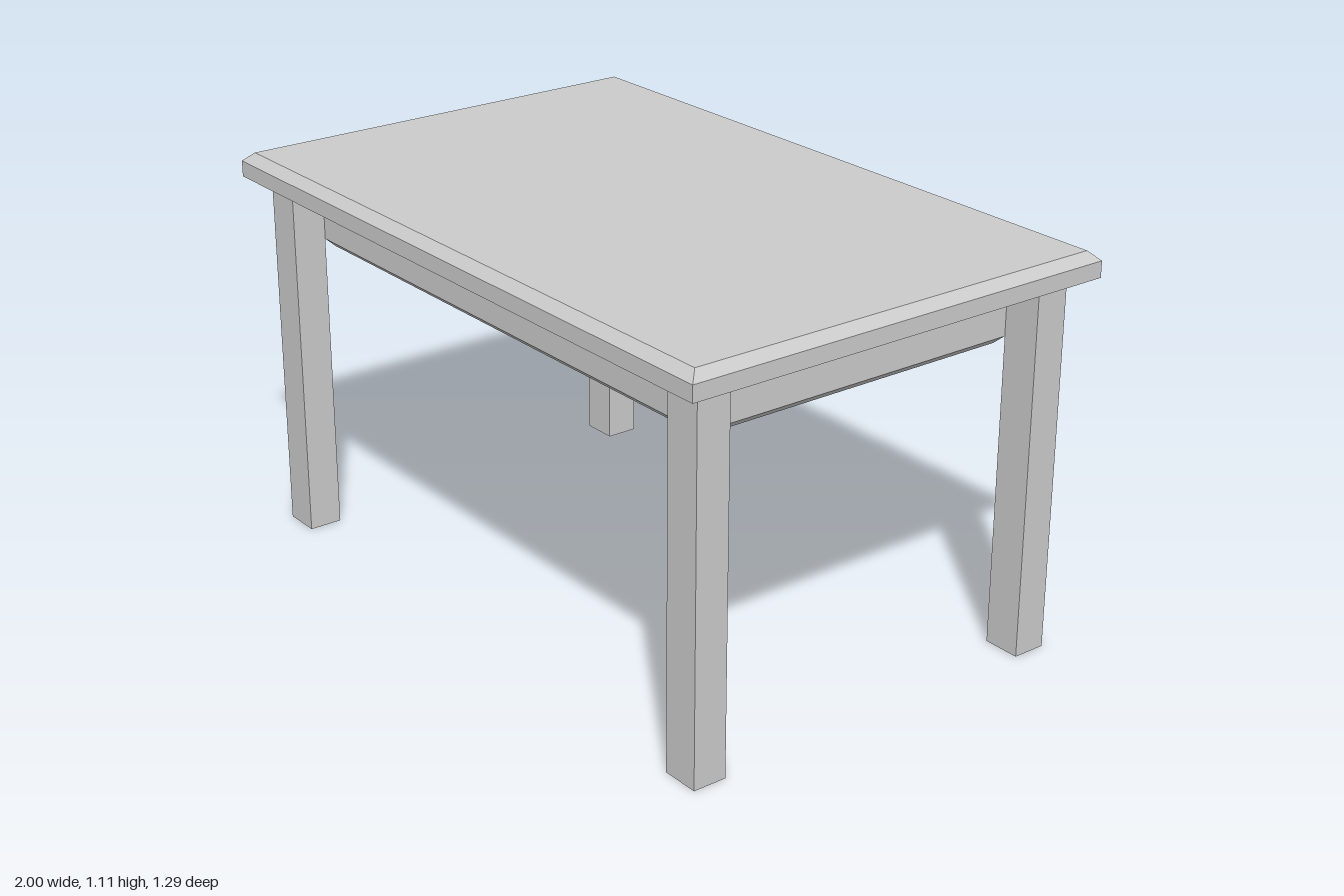
import * as THREE from 'three';

const material = new THREE.MeshStandardMaterial({ color: 0xcccccc, flatShading: true });

// Rectangle at height y; a flare pushes its four sides out and leaves the corners clipped.
function ring(hx, hz, y, flare = 0) {
  return [[1, 1], [1, -1], [-1, -1], [-1, 1]].flatMap(([sx, sz]) => {
    const endOfZSide = new THREE.Vector3(sx * hx, y, sz * (hz + flare));
    const endOfXSide = new THREE.Vector3(sx * (hx + flare), y, sz * hz);
    return sx === sz ? [endOfZSide, endOfXSide] : [endOfXSide, endOfZSide];
  });
}

// Skins the rings in order, closing the first one and, if asked, the last one.
function loft(name, rings, closeEnd) {
  const points = [];
  const triangle = (a, b, c) => {
    if (new THREE.Triangle(a, b, c).getArea() > 1e-9) points.push(a, b, c);
  };
  for (let r = 0; r < rings.length - 1; r++) {
    const low = rings[r], high = rings[r + 1];
    low.forEach((p, i) => {
      const j = (i + 1) % low.length;
      triangle(p, low[j], high[j]);
      triangle(p, high[j], high[i]);
    });
  }
  const first = rings[0], last = rings[rings.length - 1];
  for (let i = 1; i < first.length - 1; i++) {
    triangle(first[0], first[i + 1], first[i]);
    if (closeEnd) triangle(last[0], last[i], last[i + 1]);
  }
  const geometry = new THREE.BufferGeometry().setFromPoints(points);
  geometry.computeVertexNormals();
  const mesh = new THREE.Mesh(geometry, material);
  mesh.name = name;
  return mesh;
}

export function createModel() {
  const table = new THREE.Group();
  table.name = 'table';

  // Top and hollow apron in one skin, from the recess ceiling round to the upper face
  table.add(loft('tableTopAndApron', [
    ring(0.745, 0.4, 1.06),
    ring(0.745, 0.4, 0.87),
    ring(0.765, 0.42, 0.85),
    ring(0.815, 0.47, 0.85),
    ring(0.835, 0.49, 0.87),
    ring(0.835, 0.49, 1.04),
    ring(1, 0.645, 1.04),
    ring(1, 0.645, 1.085),
    ring(0.973, 0.618, 1.11),
  ], true));

  // Square legs at the outer corners of the apron, flaring out under the top
  for (const sx of [1, -1]) {
    for (const sz of [1, -1]) {
      const leg = loft('leg', [
        ring(0.054, 0.048, 0),
        ring(0.054, 0.048, 1.018),
        ring(0.054, 0.048, 1.04, 0.023),
      ], false);
      leg.position.set(sx * 0.889, 0, sz * 0.538);
      table.add(leg);
    }
  }

  return table;
}
